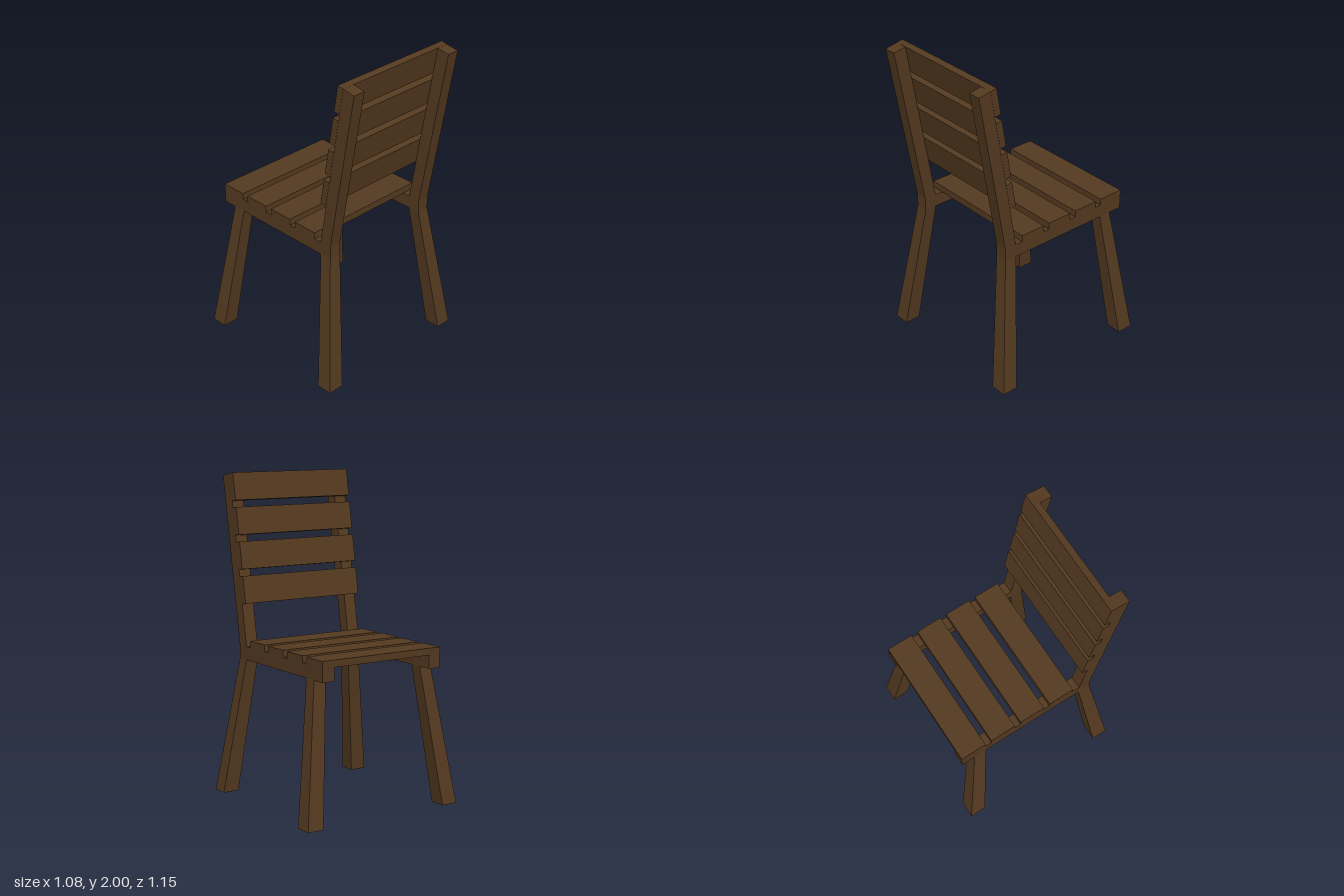
import * as THREE from 'three';

const wood = new THREE.MeshStandardMaterial({ color: 0x553a20, flatShading: true });

function add(parent, name, geometry, x = 0, y = 0, z = 0) {
  const mesh = new THREE.Mesh(geometry, wood);
  mesh.name = name;
  mesh.position.set(x, y, z);
  parent.add(mesh);
  return mesh;
}

// Square timber through four-cornered sections, listed from bottom to top.
// Each section: inner x, outer x, then z and y of its front and back edge.
function timber(sections, side) {
  const loops = sections.map(([xi, xo, zf, yf, zb, yb]) => {
    const a = Math.min(xi * side, xo * side);
    const b = Math.max(xi * side, xo * side);
    return [[a, yf, zf], [b, yf, zf], [b, yb, zb], [a, yb, zb]];
  });
  const points = [];
  const quad = (a, b, c, d) => points.push(...a, ...b, ...c, ...a, ...c, ...d);
  for (let i = 0; i + 1 < loops.length; i++) {
    const low = loops[i], high = loops[i + 1];
    for (let k = 0; k < 4; k++) {
      const n = (k + 1) % 4;
      quad(low[k], high[k], high[n], low[n]);
    }
  }
  quad(...loops[0]);
  quad(...loops[loops.length - 1].slice().reverse());
  const geometry = new THREE.BufferGeometry();
  geometry.setAttribute('position', new THREE.Float32BufferAttribute(points, 3));
  geometry.computeVertexNormals();
  return geometry;
}

export function createModel() {
  const chair = new THREE.Group();
  chair.name = 'chair';

  for (const side of [1, -1]) {
    const label = side > 0 ? 'left' : 'right';

    // Rear leg, bending at the seat into the leaning back post
    add(chair, label + 'RearLegAndPost', timber([
      [0.435, 0.54, 0.405, 0, 0.508, 0],
      [0.34, 0.42, 0.31, 0.855, 0.39, 0.855],
      [0.34, 0.42, 0.31, 0.937, 0.39, 0.937],
      [0.34, 0.42, 0.493, 1.992, 0.575, 1.978],
    ], side));

    // Splayed front leg
    add(chair, label + 'FrontLeg', timber([
      [0.435, 0.54, -0.575, 0, -0.468, 0],
      [0.34, 0.42, -0.455, 0.855, -0.373, 0.855],
    ], side));

    // Side rail carrying the seat
    add(chair, label + 'SeatRail', new THREE.BoxGeometry(0.08, 0.082, 0.855), side * 0.38, 0.896, -0.1175);
  }

  // Leaning frame for the back slats, hung from their top front edge
  const backrest = new THREE.Group();
  backrest.name = 'backrest';
  backrest.position.set(0, 2, 0.451);
  backrest.rotation.x = 0.173;
  chair.add(backrest);

  for (let i = 0; i < 4; i++) {
    add(chair, 'seatSlat', new THREE.BoxGeometry(0.842, 0.043, 0.169), 0, 0.9585, -0.46 + i * 0.212);
    add(backrest, 'backSlat', new THREE.BoxGeometry(0.842, 0.17, 0.043), 0, -0.085 - i * 0.2125, 0.0215);
  }
  return chair;
}
